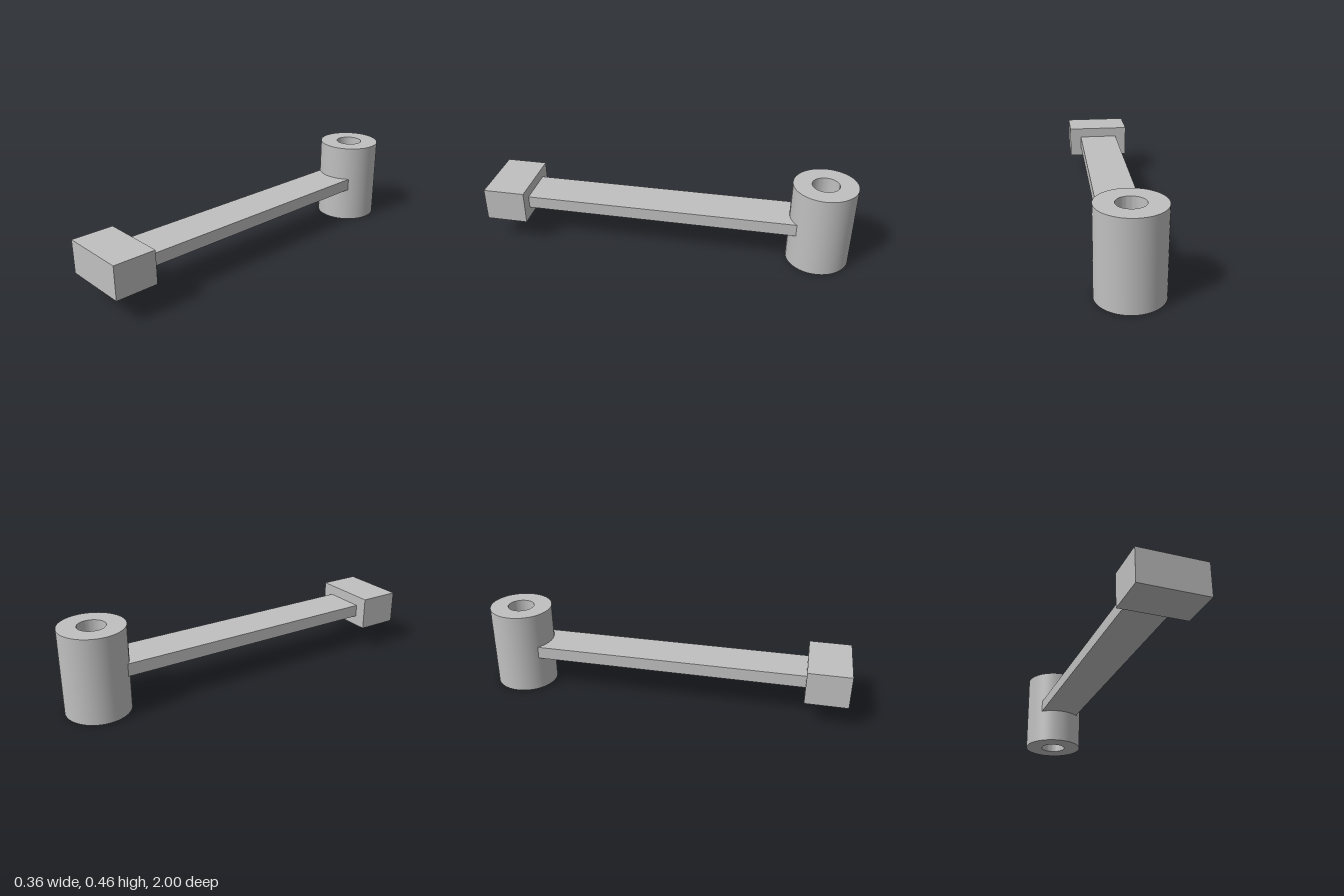
import * as THREE from 'three';
import { toCreasedNormals } from 'three/addons/utils/BufferGeometryUtils.js';

const HUB_R = 0.17, BORE_R = 0.072, HUB_Z = -0.83, HUB_H = 0.455;
const ARM_HALF = 0.114, BLOCK_BACK = 0.773;

// Extrude a plan shape (x, z) upwards from y0 to y1.
function extrudePlan(shape, y0, y1) {
  const g = new THREE.ExtrudeGeometry(shape, { depth: y1 - y0, bevelEnabled: false, curveSegments: 32 });
  g.rotateX(Math.PI / 2).translate(0, y1, 0);
  return toCreasedNormals(g, 0.5);
}

export function createModel() {
  const model = new THREE.Group();
  model.name = 'leverArm';
  const grey = new THREE.MeshStandardMaterial({ color: 0xc0c0c0 });
  grey.name = 'grey';

  const add = (name, geometry) => {
    const mesh = new THREE.Mesh(geometry, grey);
    mesh.name = name;
    model.add(mesh);
  };

  // Hub: upright sleeve with a through bore
  const ring = new THREE.Shape().absarc(0, HUB_Z, HUB_R, 0, Math.PI * 2, false);
  ring.holes.push(new THREE.Path().absarc(0, HUB_Z, BORE_R, 0, Math.PI * 2, true));
  add('hub', extrudePlan(ring, 0, HUB_H));

  // Arm: flat bar whose back end follows the curve of the hub
  const a = Math.acos(ARM_HALF / HUB_R);
  const bar = new THREE.Shape();
  bar.moveTo(ARM_HALF, BLOCK_BACK);
  bar.lineTo(-ARM_HALF, BLOCK_BACK);
  bar.absarc(0, HUB_Z, HUB_R, Math.PI - a, a, true);
  bar.closePath();
  add('arm', extrudePlan(bar, 0.194, 0.262));

  // End block at the front
  const block = new THREE.BoxGeometry(0.362, 0.18, 1 - BLOCK_BACK);
  block.translate(0, 0.228, (1 + BLOCK_BACK) / 2);
  add('endBlock', block);

  return model;
}
